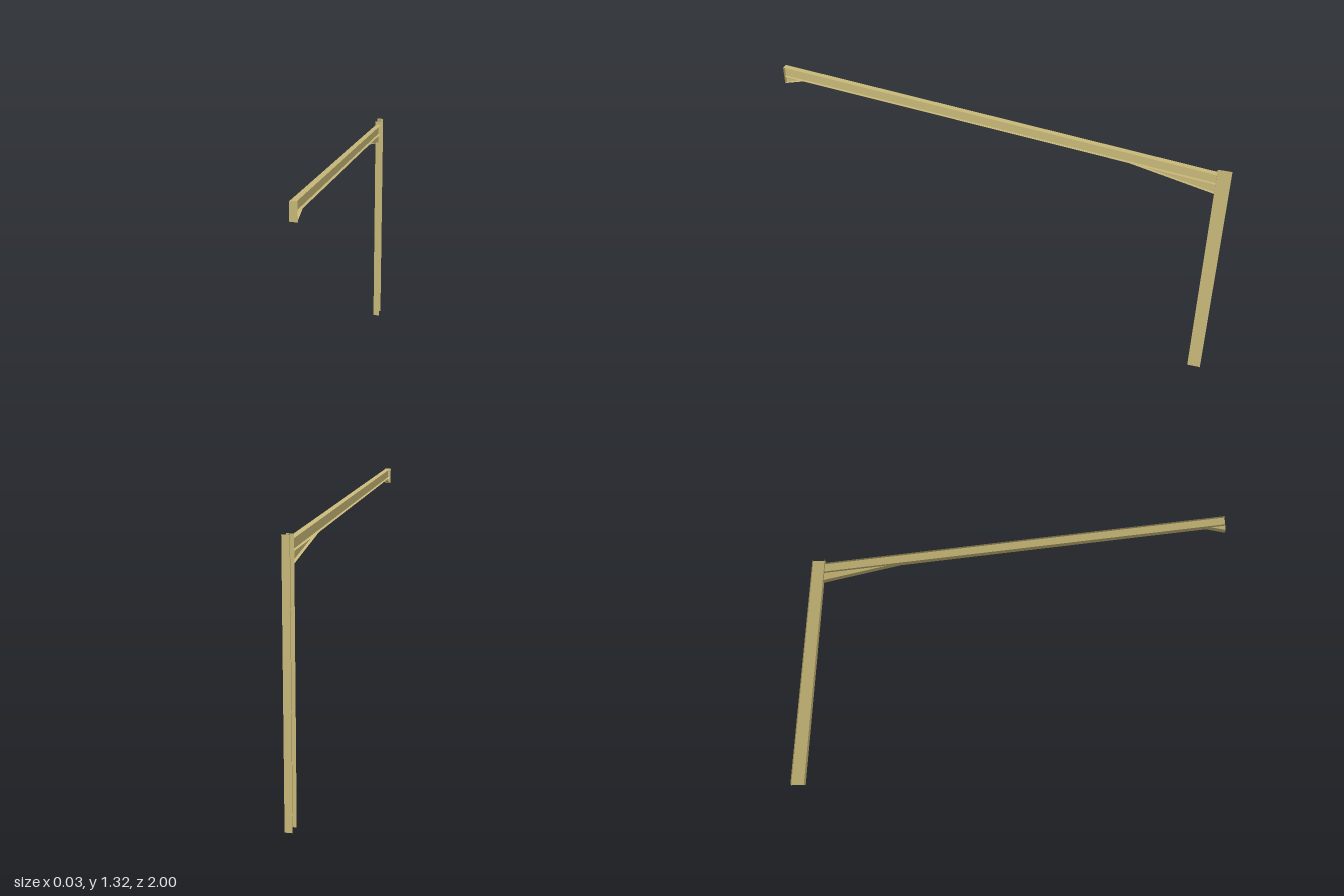
import * as THREE from 'three';

const steel = new THREE.MeshStandardMaterial({ color: 0xc8b878, side: THREE.DoubleSide });

// Flat strip across x, running between two [z, y] points
function flange(name, [z0, y0], [z1, y1], halfWidth) {
  const dz = z1 - z0, dy = y1 - y0;
  const geometry = new THREE.PlaneGeometry(halfWidth * 2, Math.hypot(dz, dy));
  geometry.rotateX(Math.atan2(dz, dy));
  geometry.translate(0, (y0 + y1) / 2, (z0 + z1) / 2);
  const mesh = new THREE.Mesh(geometry, steel);
  mesh.name = name;
  return mesh;
}

// Upright sheet in the x = 0 plane, outlined by [z, y] points
function web(name, points) {
  const shape = new THREE.Shape(points.map(([z, y]) => new THREE.Vector2(z, y)));
  const mesh = new THREE.Mesh(new THREE.ShapeGeometry(shape).rotateY(-Math.PI / 2), steel);
  mesh.name = name;
  return mesh;
}

function part(name, ...meshes) {
  const group = new THREE.Group();
  group.name = name;
  group.add(...meshes);
  return group;
}

export function createModel() {
  const model = new THREE.Group();
  model.name = 'portalFrameHalf';
  const columnHalf = 0.0155, rafterHalf = 0.013;
  const back = -1, face = -0.94, apex = 1, columnTop = 1.13;

  // Column: I-section with its web along z
  model.add(part('column',
    flange('columnBackFlange', [back, 0], [back, columnTop], columnHalf),
    flange('columnFrontFlange', [face, 0], [face, columnTop], columnHalf),
    web('columnWeb', [[back, 0], [face, 0], [face, columnTop], [back, columnTop]])));

  // Rafter: sloping I-section rising towards the apex
  const topEaves = [face, 1.111], topApex = [apex, 1.316];
  const lowEaves = [face, 1.063], lowApex = [apex, 1.27];
  model.add(part('rafter',
    flange('rafterTopFlange', topEaves, topApex, rafterHalf),
    flange('rafterBottomFlange', lowEaves, lowApex, rafterHalf),
    web('rafterWeb', [lowEaves, lowApex, topApex, topEaves])));

  // Tapered haunches under both ends of the rafter
  const onRafter = z => [z, THREE.MathUtils.mapLinear(z, face, apex, lowEaves[1], lowApex[1])];
  const haunches = [
    ['eavesHaunch', onRafter(-0.57), [face, 1.016], lowEaves],
    ['apexHaunch', onRafter(0.91), [apex, 1.238], lowApex],
  ];
  for (const [name, tip, heel, corner] of haunches) {
    model.add(part(name,
      flange(name + 'Flange', tip, heel, rafterHalf),
      web(name + 'Web', [tip, heel, corner])));
  }

  // Plate closing the apex end
  model.add(flange('apexEndPlate', [apex, 1.238], topApex, columnHalf));
  return model;
}
